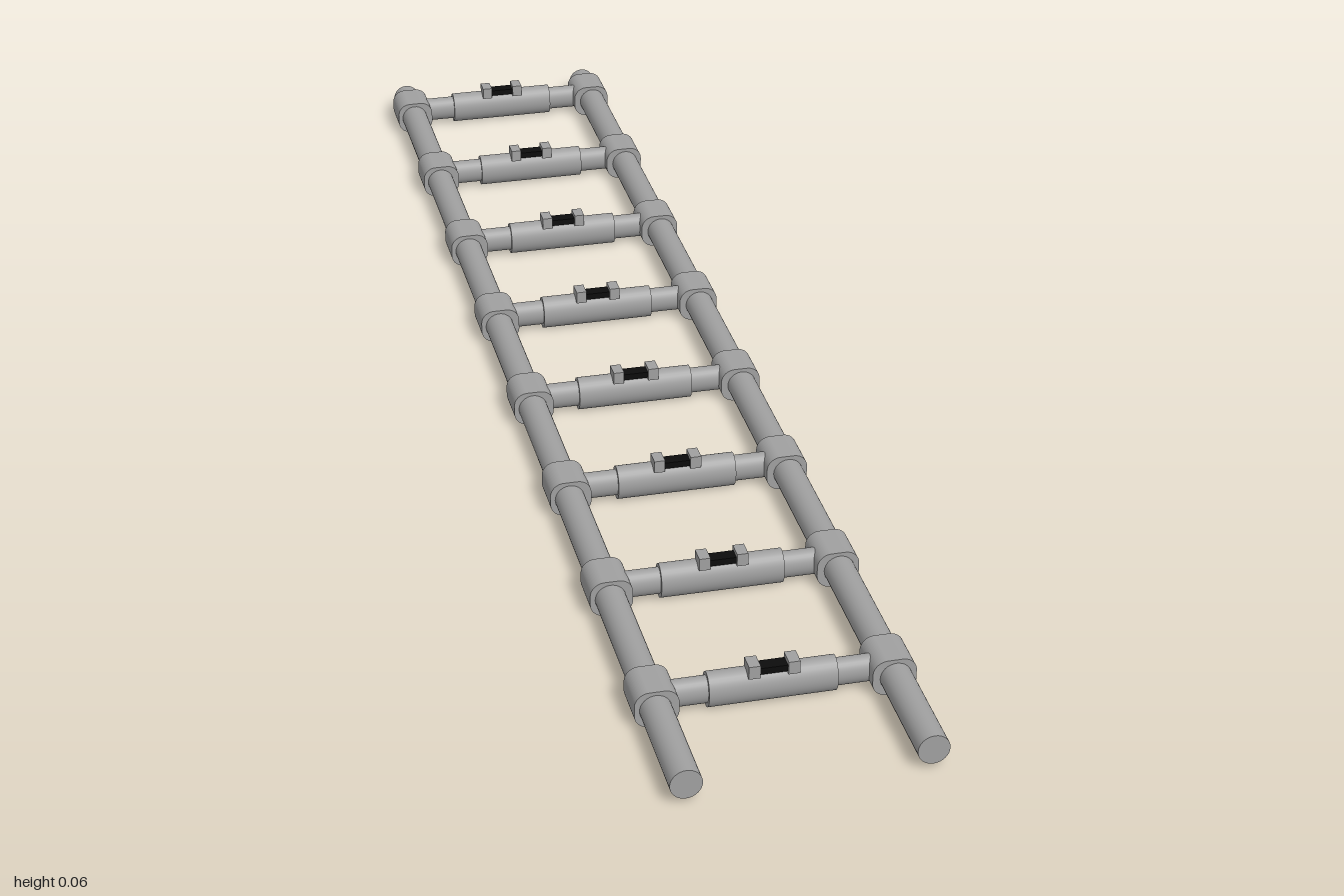
import * as THREE from 'three';

const metal = new THREE.MeshStandardMaterial({ color: 0xa0a0a0 });
metal.name = 'grey metal';
const black = new THREE.MeshStandardMaterial({ color: 0x0c0c0c });
black.name = 'black grip';

const AXIS_Y = 0.0265, RAIL_X = 0.154;

function add(parent, name, geometry, material, x, y, z) {
  const mesh = new THREE.Mesh(geometry, material);
  mesh.name = name;
  mesh.position.set(x, y, z);
  parent.add(mesh);
  return mesh;
}

// Oval bar lying along x
function ovalBar(halfHeight, halfDepth, length) {
  return new THREE.CylinderGeometry(1, 1, length, 32)
    .rotateZ(Math.PI / 2).scale(1, halfHeight, halfDepth);
}

// Rounded collar that wraps a rail, extruded along z
function collarGeometry(w, h, r, depth) {
  const s = new THREE.Shape();
  s.absarc(w - r, h - r, r, 0, Math.PI / 2);
  s.absarc(r - w, h - r, r, Math.PI / 2, Math.PI);
  s.absarc(r - w, r - h, r, Math.PI, Math.PI * 1.5);
  s.absarc(w - r, r - h, r, Math.PI * 1.5, Math.PI * 2);
  s.closePath();
  return new THREE.ExtrudeGeometry(s, { depth, bevelEnabled: false, curveSegments: 8 })
    .translate(0, 0, -depth / 2);
}

export function createModel() {
  const model = new THREE.Group();
  model.name = 'ladder';

  const railGeo = new THREE.CylinderGeometry(0.0205, 0.0205, 2, 32).rotateX(Math.PI / 2);
  const collarGeo = collarGeometry(0.0285, 0.0255, 0.019, 0.058);
  const tubeGeo = ovalBar(0.019, 0.0145, 0.28);
  const sleeveGeo = ovalBar(0.0245, 0.0185, 0.166);
  const knobGeo = new THREE.BoxGeometry(0.015, 0.018, 0.024);
  const gripGeo = new THREE.BoxGeometry(0.036, 0.009, 0.018);

  // Side rails
  for (const side of [-1, 1]) add(model, 'rail', railGeo, metal, side * RAIL_X, AXIS_Y, 0);

  // Eight evenly spaced rungs
  for (let i = 0; i < 8; i++) {
    const rung = new THREE.Group();
    rung.name = 'rung';
    rung.position.z = -0.942 + i * 0.251;
    model.add(rung);

    add(rung, 'rungTube', tubeGeo, metal, 0, 0.026, 0);
    add(rung, 'rungSleeve', sleeveGeo, metal, 0, 0.0255, 0);
    for (const side of [-1, 1]) {
      add(rung, 'collar', collarGeo, metal, side * 0.1525, 0.0265, 0);
      add(rung, 'knob', knobGeo, metal, side * 0.0255, 0.053, 0.006);
    }
    // Dark strip between the knobs
    add(rung, 'grip', gripGeo, black, 0, 0.0515, 0.006);
  }

  // Rest exactly on the ground
  const box = new THREE.Box3().setFromObject(model);
  for (const child of model.children) child.position.y -= box.min.y;
  return model;
}
